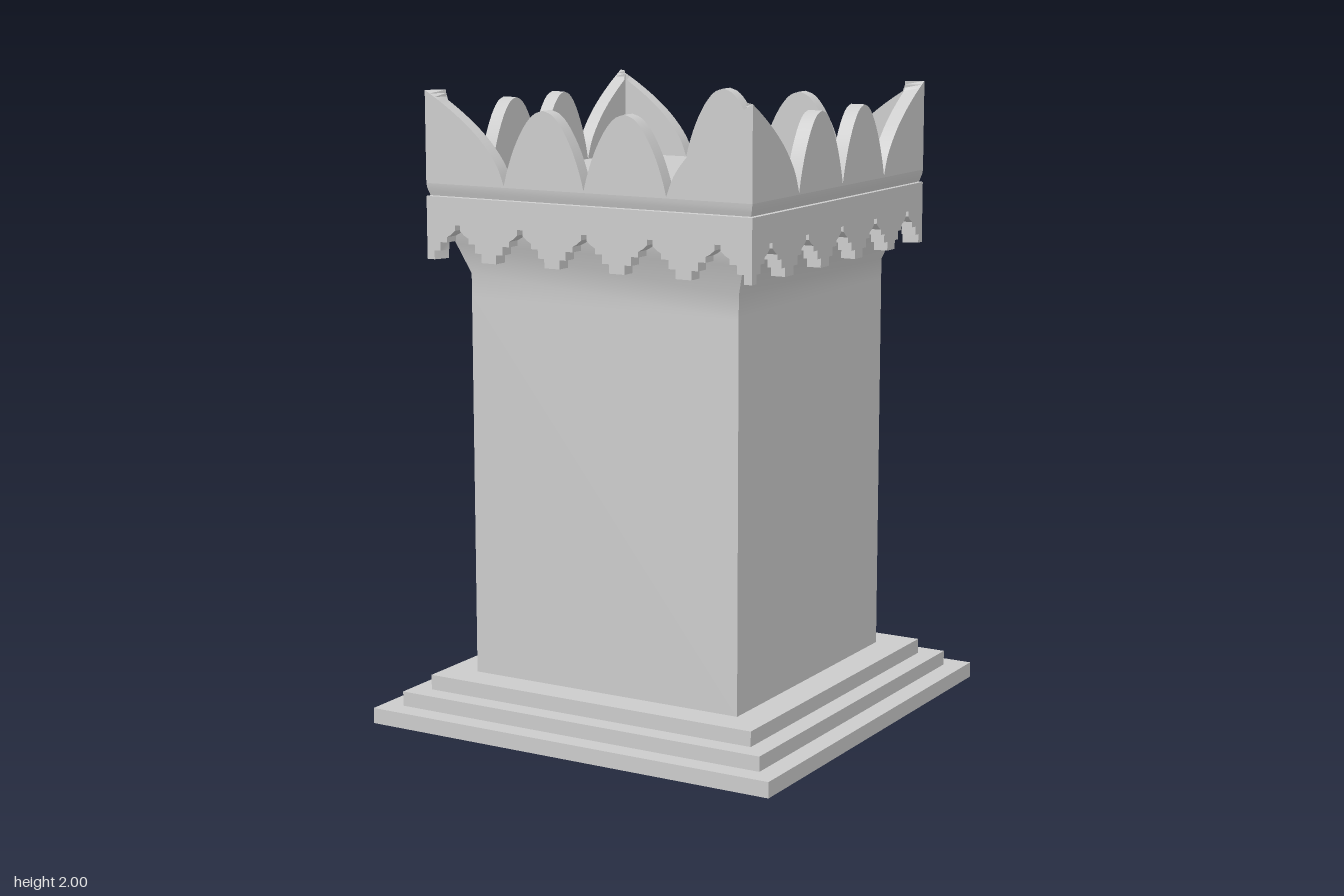
import * as THREE from 'three';
import { toCreasedNormals } from 'three/addons/utils/BufferGeometryUtils.js';

const HALF = 0.572;   // outer half width of the crown
const INNER = 0.525;  // inner half width of the crown
const SEAM = 1.675;   // lower edge of the moulding
const RIM = 1.715;    // upper edge of the moulding

export function createModel() {
  const model = new THREE.Group();
  model.name = 'squarePillar';
  const stone = new THREE.MeshStandardMaterial({ color: 0xcccccc });
  stone.name = 'pale grey stone';

  const add = (name, geometry, parent = model) => {
    const mesh = new THREE.Mesh(geometry, stone);
    mesh.name = name;
    parent.add(mesh);
    return mesh;
  };

  // Square solid from a profile of [half width, height], bottom to top
  const squareTurned = (profile) => {
    const pts = profile.map(([r, y]) => new THREE.Vector2(r * Math.SQRT2, y));
    return toCreasedNormals(new THREE.LatheGeometry(pts, 4, Math.PI / 4), 0.6);
  };

  // Stepped plinth
  [[0.712, 0, 0.05], [0.645, 0.05, 0.097], [0.58, 0.097, 0.145]].forEach(([half, y0, y1], i) => {
    const step = add(`plinthStep${i + 1}`, new THREE.BoxGeometry(half * 2, y1 - y0, half * 2));
    step.position.y = (y0 + y1) / 2;
  });

  // Shaft flaring out under the crown and closed by the roof floor
  add('shaft', squareTurned([
    [0.475, 0.14], [0.475, 1.36], [0.475, 1.43], [0.508, 1.524], [0.53, 1.585], [0.53, 1.72], [0, 1.72],
  ]));

  // Shallow undercut moulding around the crown
  add('moulding', squareTurned([
    [HALF, SEAM], [0.563, 1.677], [0.567, 1.69], [0.5705, 1.703], [HALF, RIM],
  ]));

  // Mitred wall panel: the inner face is narrowed to the inner width
  const panel = (points) => {
    const depth = HALF - INNER;
    const shape = new THREE.Shape(points.map(([x, y]) => new THREE.Vector2(x, y)));
    const geo = new THREE.ExtrudeGeometry(shape, { depth, bevelEnabled: false });
    geo.translate(0, 0, INNER);
    const p = geo.attributes.position;
    for (let i = 0; i < p.count; i++) {
      if (p.getZ(i) < INNER + 0.001) p.setX(i, THREE.MathUtils.clamp(p.getX(i), -INNER, INNER));
    }
    return toCreasedNormals(geo, 0.5);
  };

  const smooth = (pts, n) => new THREE.CatmullRomCurve3(
    pts.map(([x, y]) => new THREE.Vector3(x, y, 0))).getPoints(n).map((v) => [v.x, v.y]);
  const mirrorX = (pts, axis) => pts.map(([x, y]) => [2 * axis - x, y]).reverse();

  // Petal battlements: two full lobes in the middle, a rising half lobe at each corner
  const lobeHalf = smooth([[0, 1.72], [0.012, 1.765], [0.04, 1.84], [0.08, 1.91], [0.112, 1.942], [0.1425, 1.953]], 16);
  const corner = smooth([[0.285, 1.72], [0.31, 1.78], [0.36, 1.845], [0.42, 1.9], [0.5, 1.957], [HALF, 2]], 20);
  const rightTop = [...lobeHalf, ...mirrorX(lobeHalf, 0.1425).slice(1), ...corner.slice(1)];
  const crest = [...mirrorX(rightTop, 0), ...rightTop.slice(1)];
  const battlement = panel([[-HALF, RIM], [HALF, RIM], ...crest.reverse()]);

  // Stepped fringe hanging from the crown: five notches per side
  const period = (2 * HALF) / 5;
  const halfNotch = [
    [0, 1.48], [0.027, 1.48], [0.027, 1.508], [0.05, 1.508], [0.05, 1.535], [0.075, 1.535],
    [0.075, 1.552], [0.09, 1.56], [0.105, 1.573], [0.105, 1.59],
  ];
  const notch = [...halfNotch, ...mirrorX(halfNotch, period / 2)];
  const lowerEdge = [];
  for (let i = 0; i < 5; i++) {
    notch.slice(i ? 1 : 0).forEach(([x, y]) => lowerEdge.push([x - HALF + i * period, y]));
  }
  const fringe = panel([...lowerEdge, [HALF, SEAM], [-HALF, SEAM]]);

  // The same wall on all four sides
  ['front', 'left', 'back', 'right'].forEach((side, i) => {
    const wall = new THREE.Group();
    wall.name = `${side}CrownWall`;
    add('battlement', battlement, wall);
    add('fringe', fringe, wall);
    wall.rotation.y = (i * Math.PI) / 2;
    model.add(wall);
  });

  return model;
}
